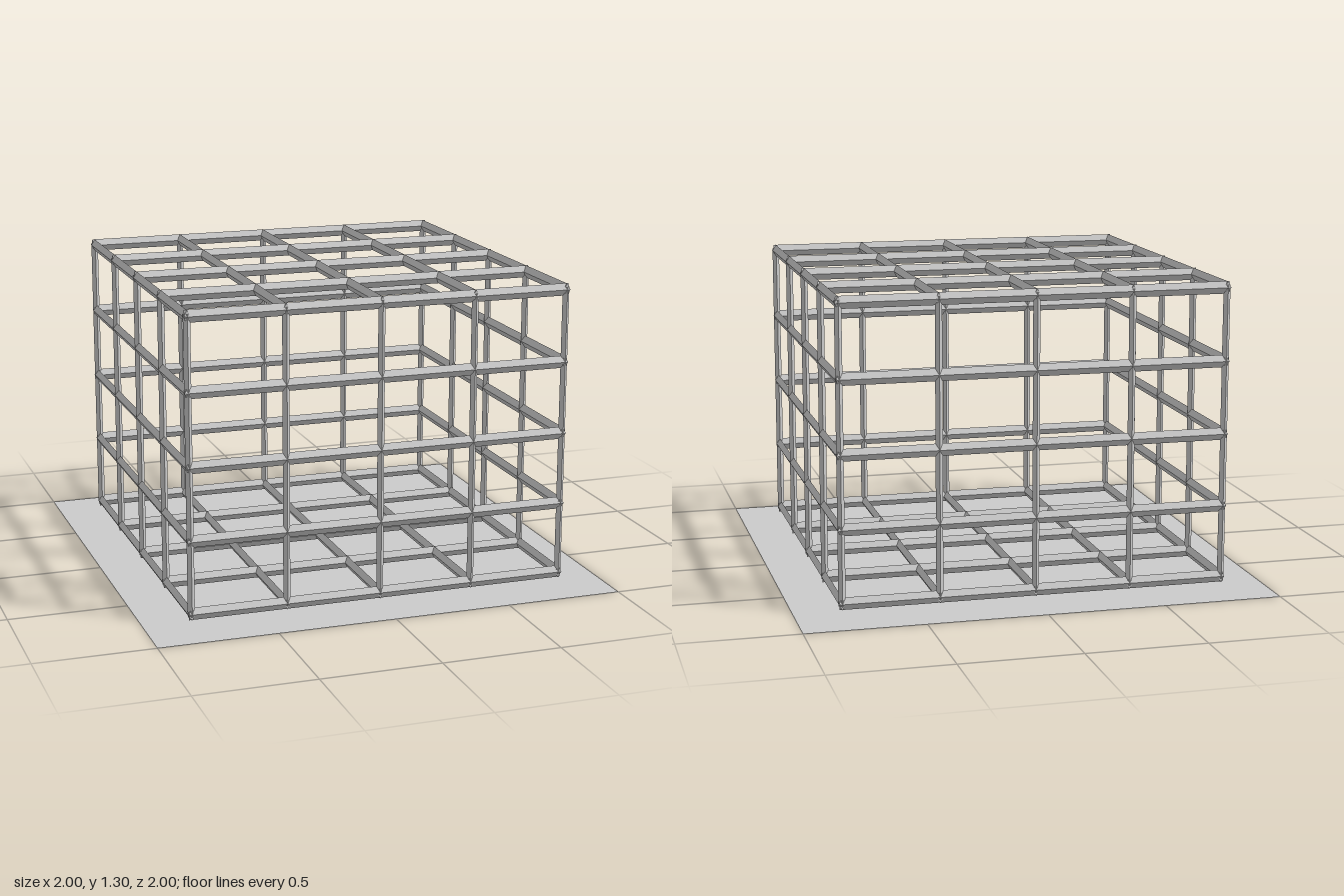
import * as THREE from 'three';

export function createModel() {
  const model = new THREE.Group();
  const mat = new THREE.MeshStandardMaterial({ color: 0xcccccc, flatShading: true });
  const thin = new THREE.MeshStandardMaterial({ color: 0xcccccc, side: THREE.DoubleSide });

  // flat ground sheet
  const sheet = new THREE.Mesh(new THREE.PlaneGeometry(2, 2).rotateX(-Math.PI / 2), thin);
  sheet.name = 'baseSheet';
  model.add(sheet);

  // lattice lines along each axis
  const steps = [-2, -1, 0, 1, 2];
  const X = i => i * 0.404;
  const Y = i => 0.662 + i * 0.3065;
  const Z = i => i * 0.4015;
  const w = 0.015, h = 0.026, over = 0.01;
  const onRim = (a, b) => Math.abs(a) === 2 || Math.abs(b) === 2;

  // four-sided bars with a diamond section, taller than wide when lying down
  const bar = len => new THREE.CylinderGeometry(1, 1, len + 2 * over, 4);
  const post = bar(Y(2) - Y(-2)).scale(w, 1, w);
  const crossBar = bar(X(2) - X(-2)).rotateZ(Math.PI / 2).scale(1, h, w);
  const sideBar = bar(Z(2) - Z(-2)).rotateX(Math.PI / 2).scale(w, h, 1);

  const groups = {};
  for (const name of ['uprights', 'crossBars', 'sideBars']) {
    groups[name] = new THREE.Group();
    groups[name].name = name;
    model.add(groups[name]);
  }
  const place = (group, name, geo, x, y, z) => {
    const m = new THREE.Mesh(geo, mat);
    m.name = name;
    m.position.set(x, y, z);
    groups[group].add(m);
  };

  // bars only on the six outer faces, so the inside stays open
  for (const a of steps) {
    for (const b of steps) {
      if (!onRim(a, b)) continue;
      place('uprights', 'upright', post, X(a), Y(0), Z(b));
      place('crossBars', 'crossBar', crossBar, 0, Y(a), Z(b));
      place('sideBars', 'sideBar', sideBar, X(a), Y(b), 0);
    }
  }
  return model;
}
